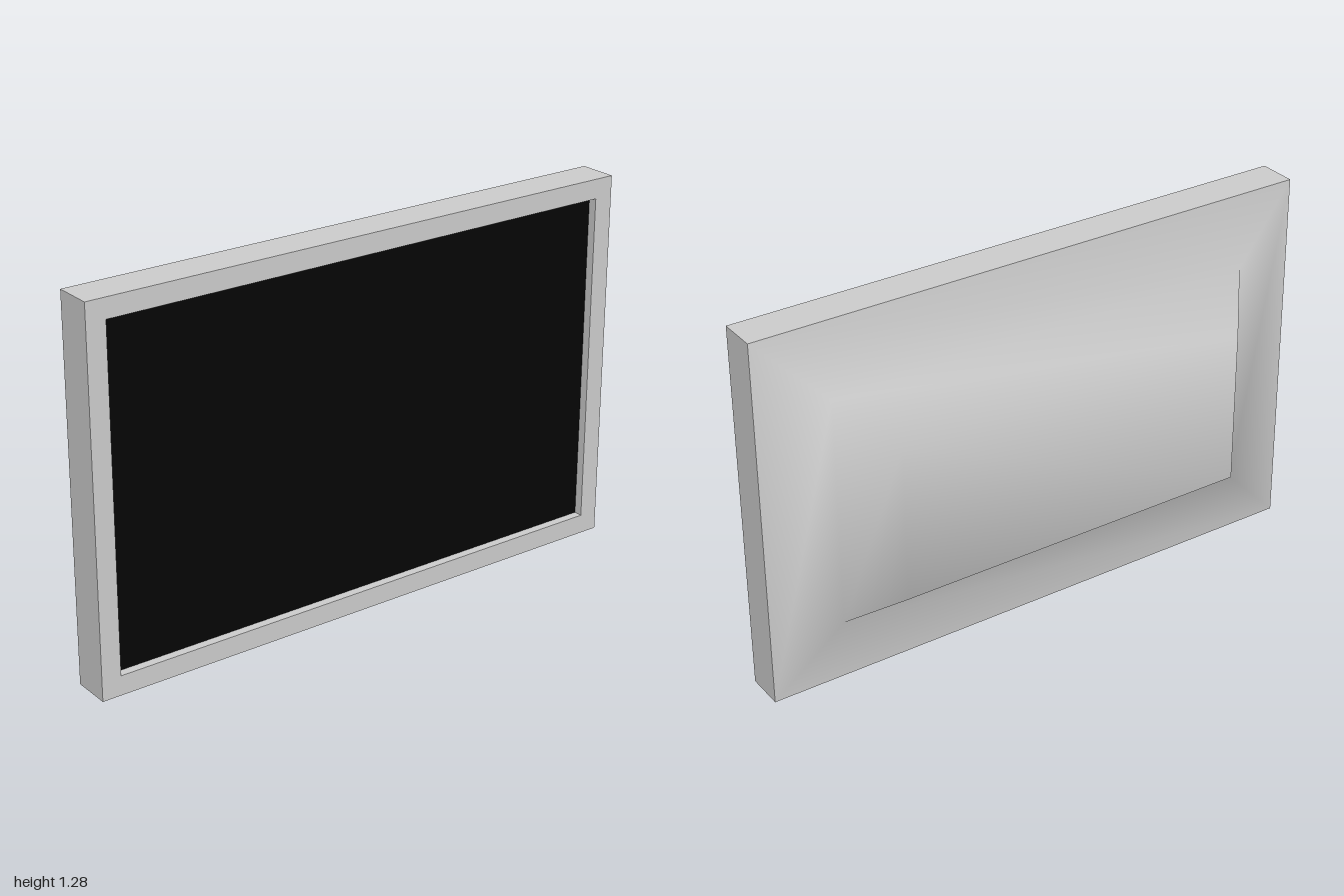
import * as THREE from 'three';

const MID_Y = 0.64;

// Joins rectangular rings [halfWidth, halfHeight, z] in order; cap closes the last ring facing -z.
function loftRects(rings, cap) {
  const corners = [[-1, -1], [1, -1], [1, 1], [-1, 1]];
  const positions = [];
  const index = [];
  for (const [w, h, z] of rings) {
    for (const [sx, sy] of corners) positions.push(sx * w, sy * h, z);
  }
  for (let i = 0; i < rings.length - 1; i++) {
    for (let k = 0; k < 4; k++) {
      const a = i * 4 + k;
      const b = i * 4 + (k + 1) % 4;
      index.push(a, a + 4, b + 4, a, b + 4, b);
    }
  }
  if (cap) {
    const n = (rings.length - 1) * 4;
    index.push(n, n + 3, n + 2, n, n + 2, n + 1);
  }
  const geometry = new THREE.BufferGeometry();
  geometry.setAttribute('position', new THREE.Float32BufferAttribute(positions, 3));
  geometry.setIndex(index);
  geometry.computeVertexNormals();
  return geometry;
}

export function createModel() {
  const model = new THREE.Group();
  model.name = 'flatDisplay';

  function add(name, geometry, options) {
    const mesh = new THREE.Mesh(geometry, new THREE.MeshStandardMaterial(options));
    mesh.name = name;
    mesh.position.y = MID_Y;
    model.add(mesh);
    return mesh;
  }

  // Sharp-edged bezel: recess wall, front face, outer sides
  const bezel = [
    [0.933, 0.573, 0.145],
    [0.933, 0.573, 0.175],
    [1, 0.64, 0.175],
    [1, 0.64, 0.042],
  ];
  add('bezel', loftRects(bezel, false), { color: 0xcccccc, flatShading: true });

  // Smooth-shaded back housing, shallow slope then a steeper bulge
  const housing = [
    [1, 0.64, 0.042],
    [0.765, 0.4, -0.005],
    [0.63, 0.268, -0.175],
  ];
  add('backHousing', loftRects(housing, true), { color: 0xcccccc });

  // Recessed dark screen
  const screen = add('screen', new THREE.PlaneGeometry(1.866, 1.146), { color: 0x050505 });
  screen.position.z = 0.145;

  return model;
}
